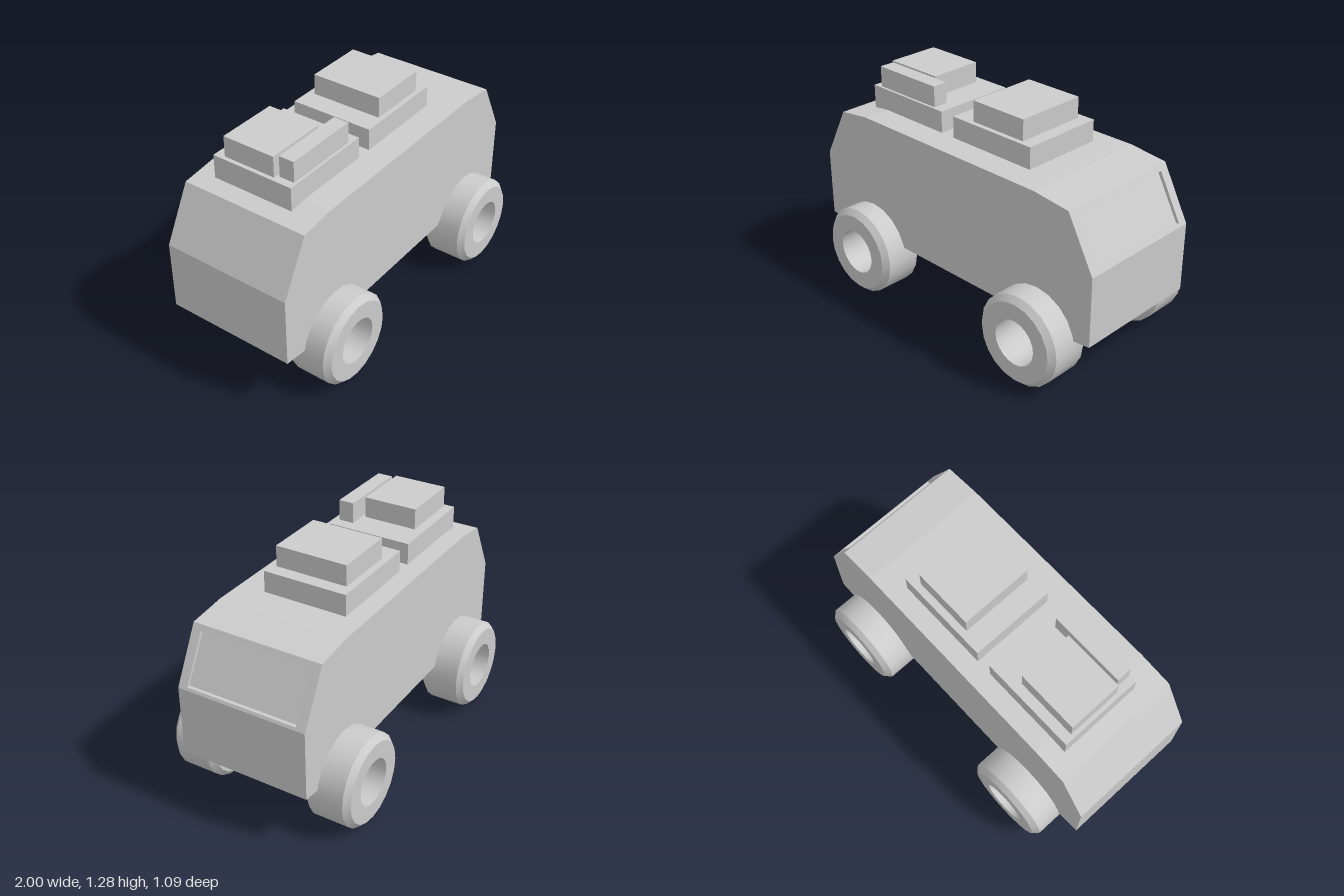
import * as THREE from 'three';
import { toCreasedNormals } from 'three/addons/utils/BufferGeometryUtils.js';

const material = new THREE.MeshStandardMaterial({ color: 0xcccccc });

function add(group, name, geometry) {
  const mesh = new THREE.Mesh(geometry, material);
  mesh.name = name;
  group.add(mesh);
  return mesh;
}

// Side profile of the shell, with a wheel arch over each axle
const lower = [
  [-1, 0.325], [-0.79, 0.3], [-0.73, 0.41], [-0.44, 0.41], [-0.36, 0.33],
  [0.385, 0.33], [0.45, 0.41], [0.7, 0.41], [0.77, 0.3], [1, 0.325], [1, 0.72],
];
const windscreenRecess = [[0.992, 0.735], [0.973, 0.735], [0.838, 0.982], [0.856, 0.99]];
const upper = [[0.84, 1.02], [0.62, 1.045], [-0.64, 1.045], [-0.84, 1.02], [-1, 0.72]];

function slice(points, z0, z1) {
  const shape = new THREE.Shape(points.map(([x, y]) => new THREE.Vector2(x, y)));
  return new THREE.ExtrudeGeometry(shape, { depth: z1 - z0, bevelEnabled: false }).translate(0, 0, z0);
}

// Box given by its limits on each axis
function block(x0, x1, y0, y1, z0, z1) {
  return new THREE.BoxGeometry(x1 - x0, y1 - y0, z1 - z0)
    .translate((x0 + x1) / 2, (y0 + y1) / 2, (z0 + z1) / 2);
}

// Hollow wheel with chamfered tread edges, axis along z
function wheelGeometry() {
  const r = 0.257, hole = 0.13, half = 0.131, c = 0.031;
  const profile = [
    [hole, -half], [r - c, -half], [r, -half + c], [r, half - c], [r - c, half], [hole, half], [hole, -half],
  ].map(([x, y]) => new THREE.Vector2(x, y));
  return toCreasedNormals(new THREE.LatheGeometry(profile, 20), 0.6).rotateX(Math.PI / 2);
}

export function createModel() {
  const model = new THREE.Group();
  model.name = 'van';

  // Body: two plain sides and a middle with the sunken windscreen
  const body = new THREE.Group();
  body.name = 'body';
  model.add(body);
  const full = [...lower, ...upper];
  add(body, 'leftSide', slice(full, 0.328, 0.38));
  add(body, 'middleWithWindscreen', slice([...lower, ...windscreenRecess, ...upper], -0.315, 0.328));
  add(body, 'rightSide', slice(full, -0.368, -0.315));

  // Roof equipment
  const roof = new THREE.Group();
  roof.name = 'roofUnits';
  model.add(roof);
  add(roof, 'rearBase', block(-0.74, -0.19, 1.0, 1.167, -0.26, 0.225));
  add(roof, 'rearBox', block(-0.717, -0.365, 1.16, 1.285, -0.205, 0.105));
  add(roof, 'rearBar', block(-0.695, -0.26, 1.16, 1.285, 0.122, 0.21));
  add(roof, 'frontBase', block(-0.1, 0.45, 1.0, 1.167, -0.26, 0.225));
  add(roof, 'frontBox', block(0.025, 0.375, 1.16, 1.285, -0.22, 0.197));

  // Wheels
  const wheel = wheelGeometry();
  const places = [
    ['frontLeftWheel', 0.65, 0.41], ['frontRightWheel', 0.65, -0.413],
    ['rearLeftWheel', -0.61, 0.395], ['rearRightWheel', -0.61, -0.413],
  ];
  for (const [name, x, z] of places) add(model, name, wheel).position.set(x, 0.262, z);

  return model;
}
